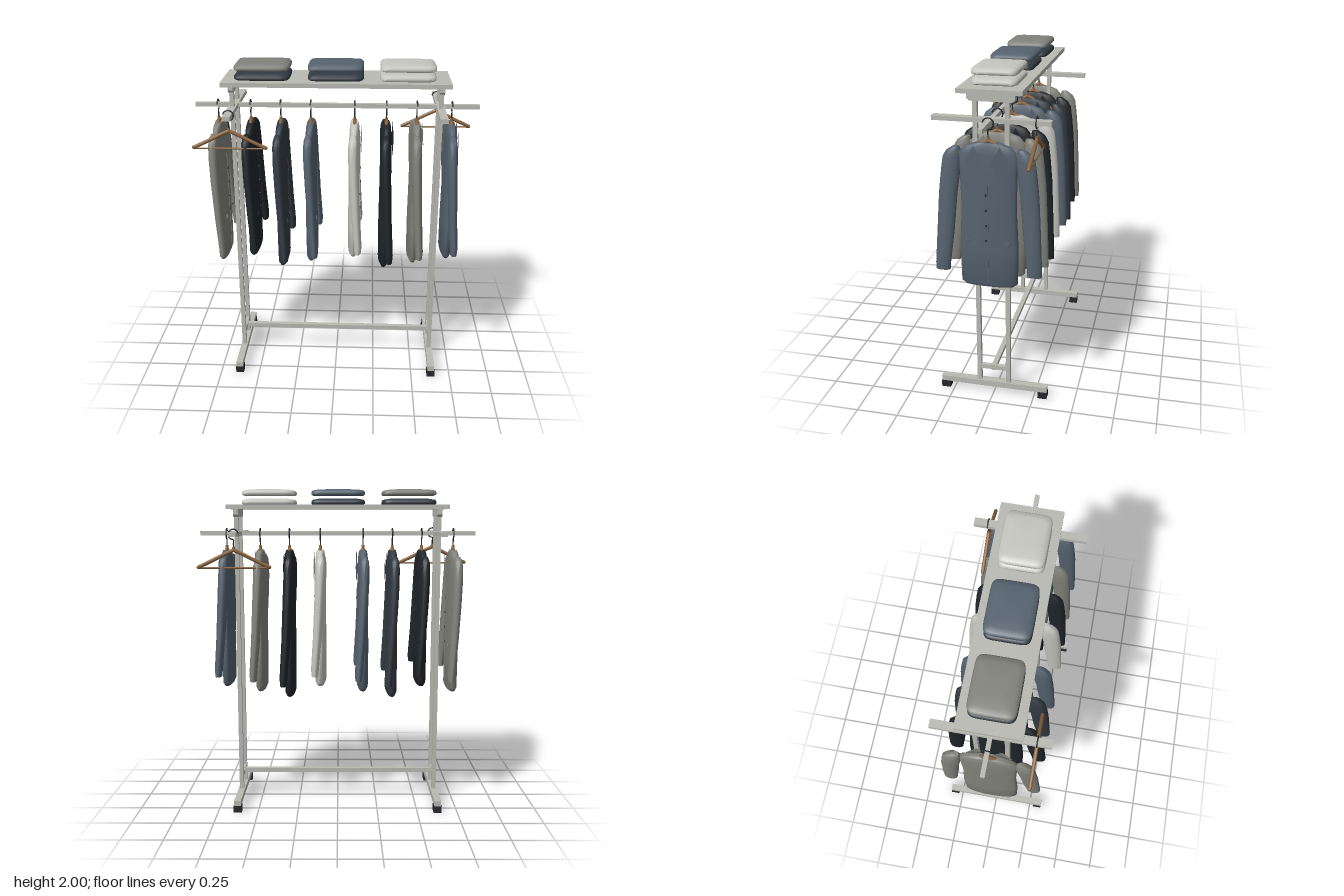
import * as THREE from 'three';
import { toCreasedNormals } from 'three/addons/utils/BufferGeometryUtils.js';

const mat = (name, color) => Object.assign(new THREE.MeshStandardMaterial({ color }), { name });
const M = {
  metal: mat('pale metal', 0xb9bab2),
  grey: mat('grey cloth', 0x82827c),
  slate: mat('slate blue cloth', 0x566370),
  charcoal: mat('charcoal cloth', 0x323a42),
  black: mat('black cloth', 0x20252a),
  light: mat('light cloth', 0xc6c6c0),
  wood: mat('wood', 0x8a633c),
  dark: mat('dark fittings', 0x24272c),
};
// Lapels are open sheets
for (const m of [M.grey, M.slate, M.charcoal, M.black, M.light]) m.side = THREE.DoubleSide;

function add(parent, name, geo, material, x = 0, y = 0, z = 0) {
  const mesh = new THREE.Mesh(geo, material);
  mesh.name = name;
  mesh.position.set(x, y, z);
  parent.add(mesh);
  return mesh;
}
const box = (p, name, m, w, h, d, x, y, z) => add(p, name, new THREE.BoxGeometry(w, h, d), m, x, y, z);

// Closed solid through horizontal superellipse rings [cx, y, cz, halfX, halfZ], listed upwards
function loft(rings, power, sides = 28) {
  const pos = [], idx = [];
  const bend = (v) => Math.sign(v) * Math.abs(v) ** (2 / power);
  for (const [cx, y, cz, hx, hz] of rings) {
    for (let j = 0; j < sides; j++) {
      const a = (j / sides) * Math.PI * 2;
      pos.push(cx + hx * bend(Math.cos(a)), y, cz + hz * bend(Math.sin(a)));
    }
  }
  const last = rings.length - 1, low = rings.length * sides;
  pos.push(...rings[0].slice(0, 3), ...rings[last].slice(0, 3));
  for (let j = 0; j < sides; j++) {
    const k = (j + 1) % sides;
    for (let i = 0; i < last; i++) {
      const a = i * sides + j, b = i * sides + k;
      idx.push(a, a + sides, b, b, a + sides, b + sides);
    }
    idx.push(low, j, k, low + 1, last * sides + k, last * sides + j);
  }
  const geo = new THREE.BufferGeometry();
  geo.setAttribute('position', new THREE.Float32BufferAttribute(pos, 3));
  geo.setIndex(idx);
  return toCreasedNormals(geo, 0.95);
}

const tube = (pts, r, n) => new THREE.TubeGeometry(
  new THREE.CatmullRomCurve3(pts.map(([x, y]) => new THREE.Vector3(x, y, 0))), n, r, 8);

// Wooden hanger in the xy plane
function hanger(name) {
  const g = new THREE.Group();
  g.name = name;
  for (const s of [-1, 1]) {
    add(g, 'hangerArm', tube([[0, 1.633], [s * 0.05, 1.61], [s * 0.14, 1.565], [s * 0.215, 1.53]], 0.011, 10), M.wood);
    add(g, 'hangerTip', new THREE.SphereGeometry(0.011, 8, 6), M.wood, s * 0.215, 1.53, 0);
  }
  const bar = add(g, 'hangerBar', new THREE.CylinderGeometry(0.005, 0.005, 0.42, 8), M.wood, 0, 1.525, 0);
  bar.rotation.z = Math.PI / 2;
  add(g, 'hangerNeck', new THREE.CylinderGeometry(0.008, 0.011, 0.025, 10), M.wood, 0, 1.64, 0);
  const hook = [[0, 1.64], [0, 1.67]];
  for (let i = 0; i <= 10; i++) {
    const a = -Math.PI / 2 + (i / 10) * 4.5;
    hook.push([0.031 * Math.cos(a), 1.726 + 0.031 * Math.sin(a)]);
  }
  add(g, 'hangerHook', tube(hook, 0.004, 40), M.dark);
  return g;
}

// Jacket facing +x; length stretches it downwards from the collar
const bodyRings = [
  [0, 0.77, 0, 0.026, 0.14], [0, 0.79, 0, 0.035, 0.165], [0, 1.0, 0, 0.037, 0.169],
  [0, 1.25, 0, 0.035, 0.158], [0, 1.45, 0, 0.035, 0.163], [0, 1.56, 0, 0.032, 0.165],
  [0, 1.6, 0, 0.028, 0.13], [0, 1.622, 0, 0.022, 0.068],
];
const sleeveRings = [
  [0.03, 0.86, 0.266, 0.02, 0.042], [0.03, 0.9, 0.265, 0.024, 0.044], [0.015, 1.1, 0.248, 0.027, 0.05],
  [0.003, 1.32, 0.232, 0.03, 0.053], [-0.003, 1.45, 0.216, 0.031, 0.055], [-0.005, 1.53, 0.207, 0.029, 0.052],
  [-0.005, 1.565, 0.197, 0.025, 0.042], [-0.005, 1.59, 0.182, 0.015, 0.02],
];
const lapelOutline = [[0.072, 1.61], [0.13, 1.515], [0.062, 1.42], [0.02, 1.515]];

function jacket(m, length) {
  const g = new THREE.Group();
  g.name = 'jacket';
  add(g, 'jacketBody', loft(bodyRings, 2.2), m);
  for (const s of [-1, 1]) {
    add(g, 'sleeve', loft(sleeveRings.map(([x, y, z, a, b]) => [x, y, s * z, a, b]), 2, 18), m);
    // Lapel: flat outline stood up and wrapped back round the chest
    const lapel = new THREE.ShapeGeometry(new THREE.Shape(lapelOutline.map(([z, y]) => new THREE.Vector2(s * z, y))));
    const p = lapel.attributes.position;
    for (let i = 0; i < p.count; i++) {
      const z = p.getX(i);
      p.setXYZ(i, 0.047 - 0.08 * Math.abs(z), p.getY(i), z);
    }
    lapel.computeVertexNormals();
    add(g, 'lapel', lapel, m);
    const flap = box(g, 'pocketFlap', m, 0.008, 0.014, 0.062, 0.031, 1.05, s * 0.098);
    flap.rotation.set(s * 0.1, s * 0.28, 0);
  }
  box(g, 'frontSeam', m, 0.005, 0.62, 0.008, 0.036, 1.11, 0);
  for (const y of [1.33, 1.24, 1.15, 1.06]) {
    const button = add(g, 'button', new THREE.CylinderGeometry(0.006, 0.006, 0.006, 10), M.dark, 0.039, y, 0.008);
    button.rotation.z = Math.PI / 2;
  }
  g.scale.y = length;
  g.position.y = 1.62 * (1 - length);
  return g;
}

export function createModel() {
  const root = new THREE.Group();
  root.name = 'clothesRack';

  // Frame ends
  for (const s of [-1, 1]) {
    const x = s * 0.627;
    const end = new THREE.Group();
    end.name = 'frameEnd';
    root.add(end);
    box(end, 'baseBar', M.metal, 0.042, 0.036, 0.66, x, 0.058, 0);
    for (const t of [-1, 1]) {
      box(end, 'foot', M.dark, 0.05, 0.042, 0.056, x, 0.021, t * 0.303);
      box(end, 'upright', M.metal, 0.026, 1.78, 0.026, x, 0.965, t * 0.09);
    }
    box(end, 'lowerCrossBar', M.metal, 0.026, 0.026, 0.16, x, 0.172, 0);
    box(end, 'stretcherPlate', M.metal, 0.032, 0.036, 0.03, x, 0.174, 0);
    box(end, 'sideRail', M.metal, 0.048, 0.026, 0.67, x, 1.727, 0);
    // Shelf bracket with cut lower corners
    const outline = [[-0.135, 1.878], [-0.135, 1.845], [-0.12, 1.83], [0.12, 1.83], [0.135, 1.845], [0.135, 1.878]];
    const bracket = new THREE.ExtrudeGeometry(
      new THREE.Shape(outline.map(([a, b]) => new THREE.Vector2(a, b))), { depth: 0.03, bevelEnabled: false });
    add(end, 'shelfBracket', bracket, M.metal, x - 0.015, 0, 0).rotation.y = Math.PI / 2;
  }
  box(root, 'stretcher', M.metal, 1.24, 0.026, 0.03, 0, 0.173, 0);
  box(root, 'mainRail', M.metal, 1.734, 0.026, 0.026, 0, 1.727, 0);
  box(root, 'shelf', M.metal, 1.36, 0.026, 0.366, 0, 1.89, 0);

  // Folded clothes, two per pile
  const fold = [[0, 0.95], [0.006, 1], [0.02, 1], [0.03, 0.95], [0.036, 0.75], [0.039, 0.4]];
  const pile = loft(fold.map(([y, k]) => [0, y, 0, 0.166 * k, 0.133 * k]), 7, 48);
  for (const [x, lower, upper] of [[-0.443, M.charcoal, M.grey], [-0.003, M.charcoal, M.slate], [0.426, M.light, M.light]]) {
    add(root, 'foldedLower', pile, lower, x, 1.904, 0);
    add(root, 'foldedUpper', pile, upper, x, 1.96, 0);
  }

  // Hanging jackets: place on the rail, cloth, length
  const row = [
    [-0.73, M.grey, 1.04], [-0.53, M.black, 1], [-0.345, M.charcoal, 1.082], [-0.16, M.slate, 1.04],
    [0.11, M.light, 1], [0.305, M.black, 1.082], [0.49, M.grey, 1.04], [0.702, M.slate, 1],
  ];
  for (const [x, cloth, length] of row) {
    const g = new THREE.Group();
    g.name = 'hangingJacket';
    g.position.x = x;
    const h = hanger('jacketHanger');
    h.rotation.y = Math.PI / 2;
    g.add(h, jacket(cloth, length));
    root.add(g);
  }

  // Spare hangers on the side rails
  for (const s of [-1, 1]) {
    const h = hanger('spareHanger');
    h.position.set(s * 0.627, 0, -s * 0.252);
    root.add(h);
  }
  return root;
}
